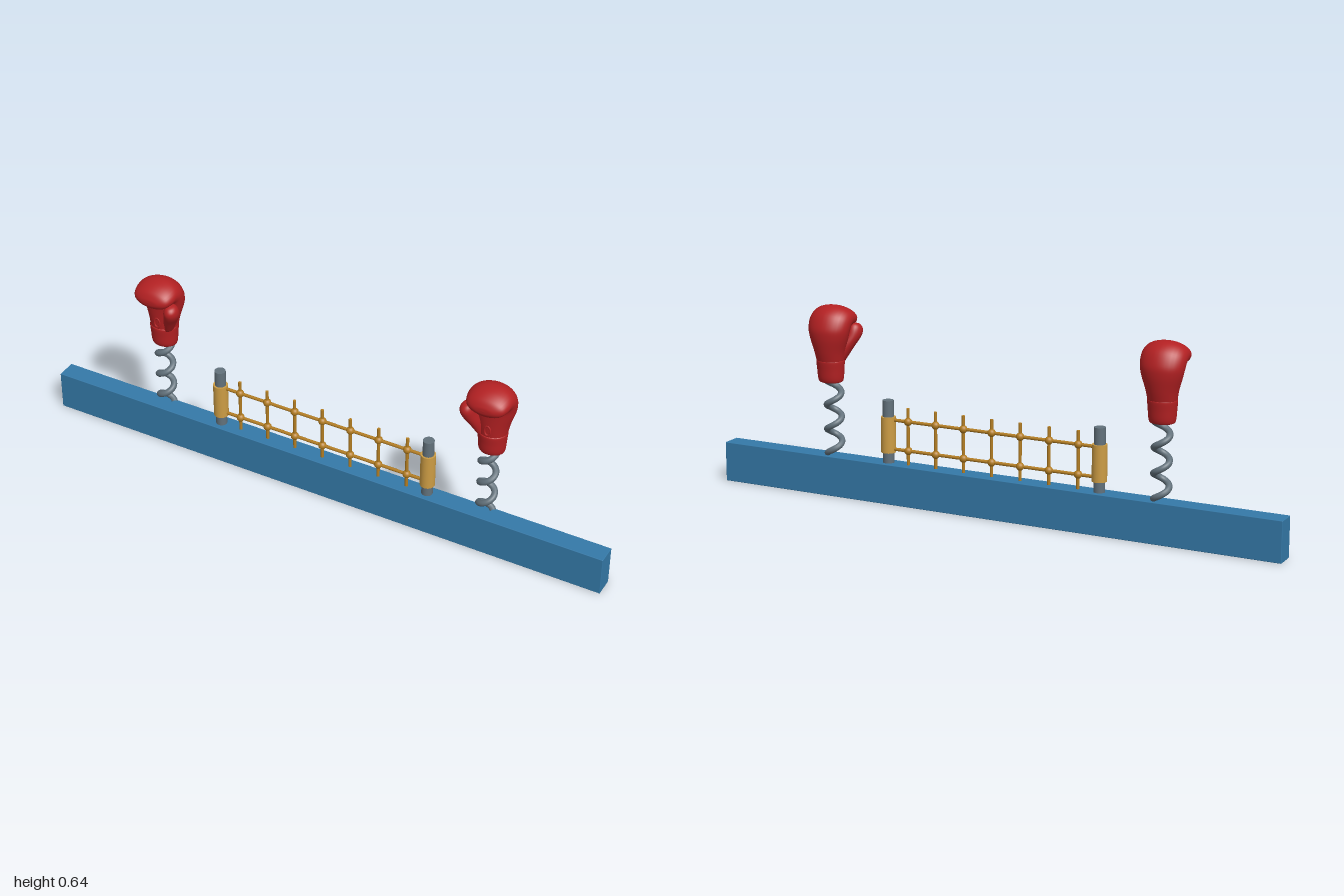
import * as THREE from 'three';
import { RoundedBoxGeometry } from 'three/addons/geometries/RoundedBoxGeometry.js';

const material = (name, color) => Object.assign(new THREE.MeshStandardMaterial({ color }), { name });

// Skin over rings [frontZ, frontY, backZ, backY, halfWidth, centreX], smoothed along the length
function loft(rings, steps = 36, sides = 32) {
  const curve = (f) => new THREE.CatmullRomCurve3(rings.map(f), false, 'catmullrom');
  const front = curve((r) => new THREE.Vector3(r[4], r[1], r[0]));
  const back = curve((r) => new THREE.Vector3(r[5], r[3], r[2]));
  const pos = [], index = [];
  for (let i = 0; i <= steps; i++) {
    const f = front.getPoint(i / steps), b = back.getPoint(i / steps);
    for (let j = 0; j < sides; j++) {
      const a = (j / sides) * Math.PI * 2, c = (1 + Math.cos(a)) / 2;
      pos.push(b.x + f.x * Math.sin(a), b.y + (f.y - b.y) * c, b.z + (f.z - b.z) * c);
      if (i < steps) {
        const k = (j + 1) % sides, p = i * sides, q = p + sides;
        index.push(p + j, p + k, q + j, p + k, q + k, q + j);
      }
    }
  }
  // Close both ends
  const first = rings[0], last = rings[rings.length - 1], n = (steps + 1) * sides;
  for (const r of [first, last]) pos.push(r[5], (r[1] + r[3]) / 2, (r[0] + r[2]) / 2);
  for (let j = 0; j < sides; j++) {
    const k = (j + 1) % sides, q = steps * sides;
    index.push(n, k, j, n + 1, q + j, q + k);
  }
  const g = new THREE.BufferGeometry();
  g.setAttribute('position', new THREE.Float32BufferAttribute(pos, 3));
  g.setIndex(index);
  g.computeVertexNormals();
  return g;
}

class Helix extends THREE.Curve {
  getPoint(t, target = new THREE.Vector3()) {
    const y = 0.142 + t * 0.25, a = ((y - 0.195) / 0.083) * Math.PI * 2;
    return target.set(0.0245 * Math.sin(a), y, -0.0035 + 0.0245 * Math.cos(a));
  }
}

export function createModel() {
  const model = new THREE.Group();
  const blue = material('blue base', 0x3479a8);
  const red = material('red leather', 0xb32022);
  const grey = material('grey metal', 0x62717b);
  const gold = material('gold wrap', 0xcc9c44);
  const rope = material('ochre rope', 0xb47e22);
  const Z = -0.007;

  const add = (parent, name, geometry, mat, x = 0, y = 0, z = 0) => {
    const mesh = new THREE.Mesh(geometry, mat);
    mesh.name = name;
    mesh.position.set(x, y, z);
    parent.add(mesh);
    return mesh;
  };

  // Long base block
  add(model, 'base', new RoundedBoxGeometry(2, 0.135, 0.067, 2, 0.002), blue, 0, 0.0675, -0.0065);

  // Net posts with wraps
  for (const x of [-0.38, 0.38]) {
    add(model, 'post', new THREE.CylinderGeometry(0.0185, 0.0185, 0.21, 24), grey, x, 0.24, Z);
    add(model, 'postWrap', new THREE.CylinderGeometry(0.0245, 0.0245, 0.12, 24), gold, x, 0.23, Z);
  }

  // Net of ropes and knots
  const net = new THREE.Group();
  net.name = 'net';
  model.add(net);
  const ropeHeights = [0.182, 0.28];
  for (const y of ropeHeights) {
    add(net, 'horizontalRope', new THREE.CylinderGeometry(0.0055, 0.0055, 0.76, 10), rope, 0, y, Z).rotation.z = Math.PI / 2;
  }
  for (let i = -3; i <= 3; i++) {
    const x = i * 0.102;
    add(net, 'verticalRope', new THREE.CylinderGeometry(0.0055, 0.0055, 0.19, 10), rope, x, 0.23, Z);
    for (const y of ropeHeights) add(net, 'knot', new THREE.SphereGeometry(0.0135, 16, 12), rope, x, y, Z);
  }

  // Glove pieces
  const handGeometry = loft([
    [0.027, 0.455, -0.057, 0.455, 0.046, 0],
    [0.029, 0.49, -0.067, 0.495, 0.053, 0],
    [0.031, 0.53, -0.075, 0.54, 0.066, 0],
    [0.033, 0.552, -0.073, 0.575, 0.072, 0],
    [0.036, 0.559, -0.052, 0.616, 0.074, 0],
    [0.041, 0.558, -0.015, 0.639, 0.073, 0],
    [0.051, 0.557, 0.024, 0.637, 0.07, 0],
    [0.063, 0.563, 0.056, 0.622, 0.059, 0],
    [0.072, 0.575, 0.071, 0.602, 0.034, 0],
    [0.074, 0.587, 0.074, 0.589, 0.003, 0],
  ], 54);
  const thumbGeometry = loft([
    [0.022, 0.455, -0.02, 0.455, 0.012, 0.03],
    [0.044, 0.498, -0.012, 0.502, 0.021, 0.045],
    [0.062, 0.533, 0.004, 0.54, 0.025, 0.06],
    [0.068, 0.555, 0.014, 0.565, 0.023, 0.064],
    [0.06, 0.572, 0.025, 0.578, 0.015, 0.063],
    [0.043, 0.58, 0.041, 0.58, 0.001, 0.061],
  ], 30, 24);
  const cuffGeometry = loft([
    [0.016, 0.386, -0.045, 0.386, 0.036, 0],
    [0.021, 0.389, -0.049, 0.389, 0.041, 0],
    [0.026, 0.402, -0.053, 0.402, 0.044, 0],
    [0.028, 0.43, -0.056, 0.43, 0.046, 0],
    [0.03, 0.456, -0.059, 0.456, 0.048, 0],
    [0.027, 0.461, -0.057, 0.461, 0.046, 0],
  ], 30);
  const springGeometry = new THREE.TubeGeometry(new Helix(), 140, 0.0105, 12);

  // Spring-mounted gloves, thumbs toward the net
  for (const side of [-1, 1]) {
    add(model, 'spring', springGeometry, grey, side * 0.588, 0, 0);
    const glove = new THREE.Group();
    glove.name = side < 0 ? 'rightGlove' : 'leftGlove';
    glove.position.x = side * 0.592;
    glove.scale.x = -side;
    model.add(glove);
    add(glove, 'hand', handGeometry, red);
    add(glove, 'thumb', thumbGeometry, red);
    add(glove, 'cuff', cuffGeometry, red);
    add(glove, 'laceLoop', new THREE.TorusGeometry(0.01, 0.003, 8, 20), red, 0, 0.484, 0.028).scale.y = 1.7;
  }
  return model;
}
